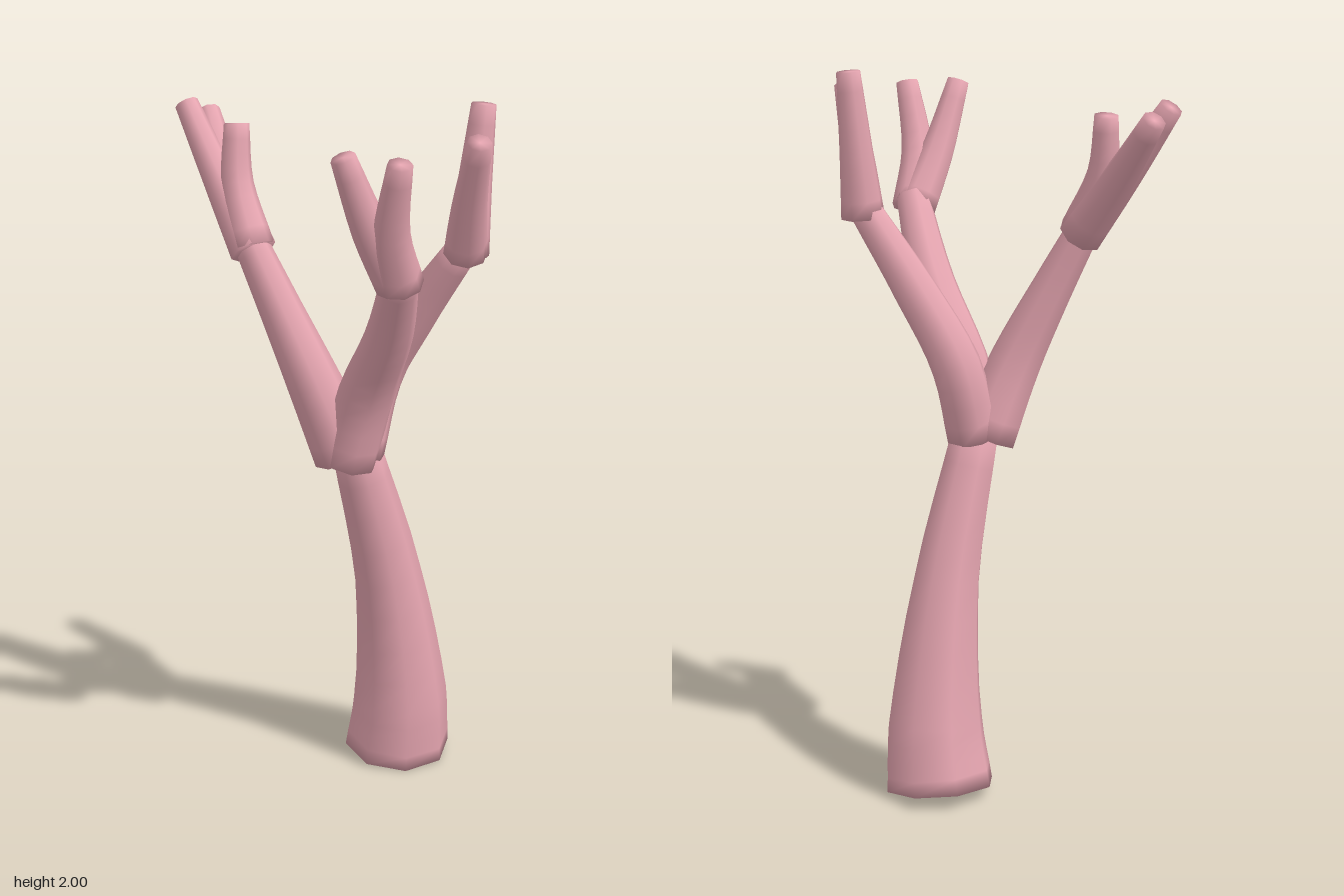
import * as THREE from 'three';

const SIDES = 8;
const material = new THREE.MeshStandardMaterial({ color: 0xe5a5b0 });

// Closed tapering limb through points [x, y, z, radius], with softly shaded ends
function limb(name, stations, steps = 12) {
  const curve = new THREE.CatmullRomCurve3(stations.map(([x, y, z]) => new THREE.Vector3(x, y, z)));
  const last = stations.length - 1;
  const pos = [], index = [];
  for (let i = 0; i <= steps; i++) {
    const t = i / steps;
    const k = Math.min(Math.floor(t * last), last - 1);
    const r = THREE.MathUtils.lerp(stations[k][3], stations[k + 1][3], t * last - k);
    const c = curve.getPoint(t), dir = curve.getTangent(t);
    const u = new THREE.Vector3(1, 0, 0).addScaledVector(dir, -dir.x).normalize();
    const v = new THREE.Vector3().crossVectors(u, dir);
    for (let j = 0; j < SIDES; j++) {
      const a = (j / SIDES) * Math.PI * 2;
      const p = c.clone().addScaledVector(u, r * Math.cos(a)).addScaledVector(v, r * Math.sin(a));
      pos.push(p.x, p.y, p.z);
      if (i < steps) {
        const n = (j + 1) % SIDES, b = i * SIDES, d = b + SIDES;
        index.push(b + j, d + j, b + n, b + n, d + j, d + n);
      }
    }
  }
  // End caps share the rim vertices
  const c0 = (steps + 1) * SIDES, top = steps * SIDES;
  pos.push(...curve.getPoint(0).toArray(), ...curve.getPoint(1).toArray());
  for (let j = 0; j < SIDES; j++) {
    const n = (j + 1) % SIDES;
    index.push(c0, j, n, c0 + 1, top + n, top + j);
  }
  const geo = new THREE.BufferGeometry();
  geo.setAttribute('position', new THREE.Float32BufferAttribute(pos, 3));
  geo.setIndex(index);
  geo.computeVertexNormals();
  const mesh = new THREE.Mesh(geo, material);
  mesh.name = name;
  return mesh;
}

export function createModel() {
  const model = new THREE.Group();
  model.name = 'branchingCoral';

  model.add(limb('trunk', [
    [0.225, 0.02, 0.08, 0.155], [0.21, 0.2, 0.1, 0.138], [0.15, 0.6, 0.093, 0.096], [0.045, 1.02, 0.05, 0.068],
  ]));

  // Each branch carries a cluster of twigs that grow out of one collar
  const branches = [
    {
      name: 'backBranch',
      path: [[0.02, 0.99, 0.035, 0.09], [-0.03, 1.2, -0.035, 0.076], [-0.055, 1.4, -0.13, 0.06], [-0.07, 1.6, -0.235, 0.046]],
      twigs: [
        [[-0.075, 1.56, -0.21, 0.064], [-0.035, 1.74, -0.36, 0.047], [-0.005, 1.92, -0.495, 0.033]],
        [[-0.07, 1.56, -0.21, 0.062], [-0.01, 1.73, -0.35, 0.047], [0.065, 1.89, -0.475, 0.033]],
        [[-0.075, 1.57, -0.21, 0.06], [-0.045, 1.73, -0.285, 0.045], [-0.02, 1.89, -0.305, 0.035]],
      ],
    },
    {
      name: 'frontRightBranch',
      path: [[0.015, 0.98, 0.05, 0.082], [0.005, 1.2, 0.12, 0.08], [-0.065, 1.4, 0.24, 0.066], [-0.185, 1.62, 0.36, 0.048]],
      twigs: [
        [[-0.19, 1.59, 0.355, 0.062], [-0.27, 1.74, 0.325, 0.05], [-0.35, 1.94, 0.295, 0.033]],
        [[-0.195, 1.59, 0.365, 0.062], [-0.265, 1.74, 0.385, 0.048], [-0.31, 1.935, 0.44, 0.033]],
      ],
    },
    {
      name: 'frontLeftBranch',
      path: [[0.055, 0.99, 0.055, 0.075], [0.1, 1.2, 0.085, 0.072], [0.115, 1.4, 0.2, 0.062], [0.118, 1.62, 0.355, 0.046]],
      twigs: [
        [[0.12, 1.6, 0.36, 0.062], [0.145, 1.79, 0.365, 0.047], [0.165, 1.998, 0.375, 0.034]],
        [[0.115, 1.605, 0.36, 0.06], [0.045, 1.76, 0.415, 0.047], [-0.03, 1.945, 0.49, 0.033]],
      ],
    },
  ];
  for (const { name, path, twigs } of branches) {
    const group = new THREE.Group();
    group.name = name;
    group.add(limb('branchStem', path));
    twigs.forEach((t, i) => group.add(limb('twig' + (i + 1), t, 8)));
    model.add(group);
  }
  return model;
}
